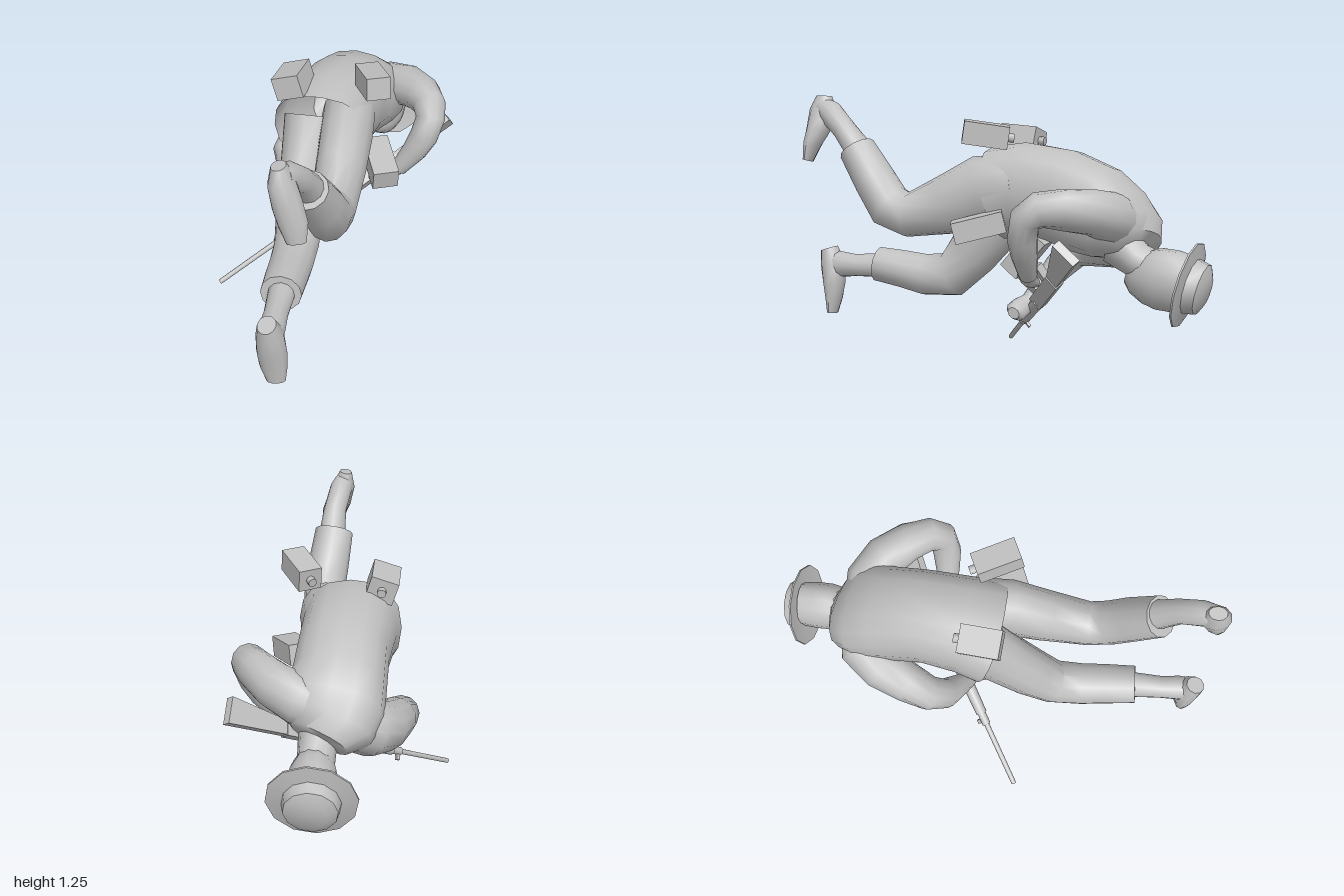
import * as THREE from 'three';
import { toCreasedNormals } from 'three/addons/utils/BufferGeometryUtils.js';

const V = (x, y, z) => new THREE.Vector3(x, y, z);
const grey = new THREE.MeshStandardMaterial({ color: 0xc0c0c0, side: THREE.DoubleSide });
grey.name = 'plain grey';

// Skin rounded sections [x, y, z, halfWidth, halfDepth] along a path; power < 1 squares them off
function loft(sections, { sides = 12, ref = V(1, 0, 0), power = 1, open = false } = {}) {
  const pos = [], index = [];
  const c = sections.map(s => V(s[0], s[1], s[2]));
  const last = c.length - 1;
  const bulge = v => Math.sign(v) * Math.abs(v) ** power;
  c.forEach((p, i) => {
    const t = V(0, 0, 0);
    if (i > 0) t.add(p.clone().sub(c[i - 1]).normalize());
    if (i < last) t.add(c[i + 1].clone().sub(p).normalize());
    t.normalize();
    const s = ref.clone().addScaledVector(t, -ref.dot(t)).normalize();
    const u = t.clone().cross(s);
    const [a, b = a] = sections[i].slice(3);
    for (let j = 0; j < sides; j++) {
      const k = (j / sides) * Math.PI * 2;
      const q = p.clone().addScaledVector(s, bulge(Math.cos(k)) * a).addScaledVector(u, bulge(Math.sin(k)) * b);
      pos.push(q.x, q.y, q.z);
    }
  });
  const start = pos.length / 3, end = start + 1;
  pos.push(...c[0].toArray(), ...c[last].toArray());
  for (let j = 0; j < sides; j++) {
    const n = (j + 1) % sides;
    for (let i = 0; i < last; i++) {
      const a = i * sides + j, b = i * sides + n;
      index.push(a, b, b + sides, a, b + sides, a + sides);
    }
    if (!open) index.push(start, n, j);
    index.push(end, last * sides + j, last * sides + n);
  }
  const g = new THREE.BufferGeometry();
  g.setAttribute('position', new THREE.Float32BufferAttribute(pos, 3));
  g.setIndex(index);
  return toCreasedNormals(g, 0.95);
}

function add(parent, name, geometry, position = [0, 0, 0], rotation = [0, 0, 0]) {
  const m = new THREE.Mesh(geometry, grey);
  m.name = name;
  m.position.set(...position);
  m.rotation.set(...rotation);
  parent.add(m);
  return m;
}

function makeRifle() {
  // Local x runs from muzzle to butt, local y towards the magazine
  const g = new THREE.Group();
  g.name = 'rifle';
  const rod = (name, x0, x1, r0, r1, sides = 8) =>
    add(g, name, new THREE.CylinderGeometry(r1, r0, x1 - x0, sides), [(x0 + x1) / 2, 0, 0], [0, 0, -Math.PI / 2]);
  rod('barrel', 0, 0.42, 0.012, 0.013);
  rod('gasBlock', 0.33, 0.4, 0.02, 0.02);
  rod('handguard', 0.39, 0.72, 0.026, 0.032);
  add(g, 'frontSight', new THREE.BoxGeometry(0.02, 0.04, 0.012), [0.35, -0.025, 0]);
  add(g, 'receiver', new THREE.BoxGeometry(0.36, 0.07, 0.05), [0.87, 0, 0]);
  add(g, 'magazine', new THREE.BoxGeometry(0.07, 0.13, 0.035), [0.79, 0.085, 0], [0, 0, 0.12]);
  add(g, 'pistolGrip', new THREE.BoxGeometry(0.04, 0.09, 0.035), [0.99, 0.06, 0], [0, 0, -0.35]);

  const s = new THREE.Shape();
  s.moveTo(1.03, -0.03);
  s.lineTo(1.37, -0.03);
  s.lineTo(1.35, 0.09);
  s.lineTo(1.03, 0.03);
  const stock = new THREE.ExtrudeGeometry(s, { depth: 0.04, bevelEnabled: false });
  add(g, 'stock', stock.translate(0, 0, -0.02));

  const x = V(1.01, 0.64, -0.66).normalize();
  const z = x.clone().cross(V(0, 0.7, 0.7)).normalize();
  g.quaternion.setFromRotationMatrix(new THREE.Matrix4().makeBasis(x, z.clone().cross(x), z));
  g.position.set(-0.51, 0.015, 0.155);
  return g;
}

export function createModel() {
  const model = new THREE.Group();
  model.name = 'crouchingSoldier';

  // Jacket bending forward from open, slanted hem to collar
  add(model, 'jacket', loft([
    [-0.03, 0.83, 0.0, 0.228, 0.215], [-0.02, 0.86, -0.12, 0.21, 0.205],
    [0.01, 0.835, -0.3, 0.2, 0.21], [0.03, 0.78, -0.46, 0.205, 0.205],
    [0.06, 0.73, -0.57, 0.225, 0.17], [0.08, 0.69, -0.64, 0.2, 0.13], [0.11, 0.655, -0.685, 0.13, 0.08],
  ], { sides: 16, power: 0.85, open: true }));

  // Legs, ankles and boots
  add(model, 'raisedTrouserLeg', loft([
    [0.07, 0.88, -0.1, 0.12, 0.14], [0.085, 0.85, 0.06, 0.118, 0.16], [0.09, 0.78, 0.22, 0.112, 0.14],
    [0.095, 0.72, 0.43, 0.1, 0.105], [0.095, 0.755, 0.525, 0.098, 0.11],
    [0.075, 0.87, 0.612, 0.1, 0.098], [0.045, 1.01, 0.72, 0.093, 0.085],
  ]));
  add(model, 'loweredTrouserLeg', loft([
    [-0.1, 0.87, -0.06, 0.12, 0.14], [-0.1, 0.7, 0.05, 0.115, 0.14], [-0.1, 0.53, 0.185, 0.11, 0.125],
    [-0.095, 0.41, 0.295, 0.102, 0.11], [-0.09, 0.4, 0.43, 0.098, 0.1],
    [-0.085, 0.42, 0.55, 0.095, 0.092], [-0.08, 0.435, 0.68, 0.09, 0.085],
  ]));
  add(model, 'raisedAnkle', loft([
    [0.055, 1.0, 0.7, 0.065], [0.04, 1.1, 0.79, 0.055], [0.01, 1.175, 0.88, 0.055, 0.06], [-0.005, 1.2, 0.93, 0.045, 0.045],
  ]));
  add(model, 'raisedBoot', loft([
    [-0.015, 1.25, 0.925, 0.03, 0.04], [-0.005, 1.18, 0.925, 0.055, 0.07], [0.02, 1.09, 0.945, 0.062, 0.055],
    [0.045, 1.02, 0.965, 0.06, 0.038], [0.06, 0.945, 0.98, 0.04, 0.02],
  ], { sides: 10 }));
  add(model, 'loweredAnkle', loft([
    [-0.08, 0.43, 0.66, 0.06], [-0.075, 0.42, 0.8, 0.052, 0.055], [-0.07, 0.42, 0.89, 0.056, 0.065], [-0.07, 0.43, 0.95, 0.045, 0.05],
  ]));
  add(model, 'loweredBoot', loft([
    [-0.075, 0.495, 0.955, 0.04, 0.045], [-0.07, 0.42, 0.93, 0.06, 0.065], [-0.065, 0.33, 0.925, 0.066, 0.055],
    [-0.06, 0.25, 0.925, 0.06, 0.038], [-0.05, 0.175, 0.93, 0.042, 0.022],
  ], { sides: 10 }));

  // Arms reaching to the rifle
  const up = V(0, 0.6, 0.8);
  add(model, 'leftSleeve', loft([
    [0.08, 0.74, -0.59, 0.1], [0.19, 0.78, -0.58, 0.11, 0.11], [0.29, 0.815, -0.52, 0.1, 0.098], [0.37, 0.83, -0.42, 0.088],
    [0.412, 0.83, -0.33, 0.077], [0.425, 0.79, -0.275, 0.068], [0.4, 0.7, -0.255, 0.066], [0.36, 0.62, -0.25, 0.058], [0.29, 0.52, -0.24, 0.04],
  ], { ref: V(0, 0.2, 1) }));
  add(model, 'rightSleeve', loft([
    [-0.01, 0.67, -0.59, 0.11], [-0.1, 0.64, -0.575, 0.12], [-0.165, 0.6, -0.49, 0.11], [-0.22, 0.57, -0.37, 0.093],
    [-0.25, 0.535, -0.27, 0.08], [-0.22, 0.46, -0.2, 0.07], [-0.14, 0.37, -0.14, 0.05], [-0.08, 0.31, -0.1, 0.038],
  ], { ref: up }));
  add(model, 'leftHand', loft([
    [0.31, 0.54, -0.24, 0.03], [0.26, 0.5, -0.23, 0.045, 0.035], [0.2, 0.485, -0.22, 0.045, 0.03], [0.15, 0.48, -0.21, 0.025, 0.02],
  ], { sides: 10, ref: up }));
  add(model, 'rightHand', loft([
    [-0.1, 0.33, -0.11, 0.03], [-0.05, 0.295, -0.08, 0.05, 0.04], [0.0, 0.28, -0.07, 0.05, 0.04], [0.03, 0.28, -0.07, 0.03, 0.025],
  ], { sides: 10, ref: up }));

  // Neck and downturned head
  add(model, 'neck', loft([[0.1, 0.65, -0.59, 0.1], [0.12, 0.59, -0.68, 0.08], [0.13, 0.55, -0.78, 0.08]]));
  add(model, 'head', loft([
    [0.13, 0.54, -0.64, 0.03, 0.05], [0.13, 0.53, -0.67, 0.065, 0.085], [0.132, 0.525, -0.72, 0.092, 0.118],
    [0.135, 0.52, -0.78, 0.104, 0.134], [0.138, 0.515, -0.85, 0.105, 0.134], [0.14, 0.51, -0.92, 0.098, 0.12],
  ], { sides: 14 }));

  // Brimmed hat, tipped along the head
  const profile = [[0, -0.015], [0.125, -0.012], [0.19, -0.02], [0.19, -0.012], [0.122, 0], [0.112, 0.05], [0.07, 0.07], [0, 0.074]];
  const hat = add(model, 'hat', toCreasedNormals(
    new THREE.LatheGeometry(profile.map(p => new THREE.Vector2(...p)), 12), 0.6), [0.14, 0.5, -0.92]);
  hat.quaternion.setFromUnitVectors(V(0, 1, 0), V(0.08, -0.22, -0.97).normalize());

  // Belt gear: size, position, rotation, and whether it has a cap
  const gear = [
    ['backLeftCanteen', [0.105, 0.1, 0.2], [0.19, 1.115, 0.0], [-0.16, 0.42, 0.05], true],
    ['backRightCanteen', [0.125, 0.105, 0.18], [-0.17, 1.065, -0.035], [-0.05, -0.1, 0.3], true],
    ['sidePouch', [0.115, 0.095, 0.23], [0.235, 0.712, 0.015], [0.26, 0.38, -0.08], false],
    ['bellyPouch', [0.14, 0.1, 0.22], [-0.07, 0.55, -0.1], [0.88, 0, 0], false],
  ];
  for (const [name, size, position, rotation, cap] of gear) {
    const item = new THREE.Group();
    item.name = name;
    add(item, name + 'Body', new THREE.BoxGeometry(...size));
    if (cap) add(item, name + 'Cap', new THREE.CylinderGeometry(0.02, 0.02, 0.03, 8), [0, 0, -size[2] / 2 - 0.012], [Math.PI / 2, 0, 0]);
    item.position.set(...position);
    item.rotation.set(...rotation);
    model.add(item);
  }

  model.add(makeRifle());
  return model;
}
